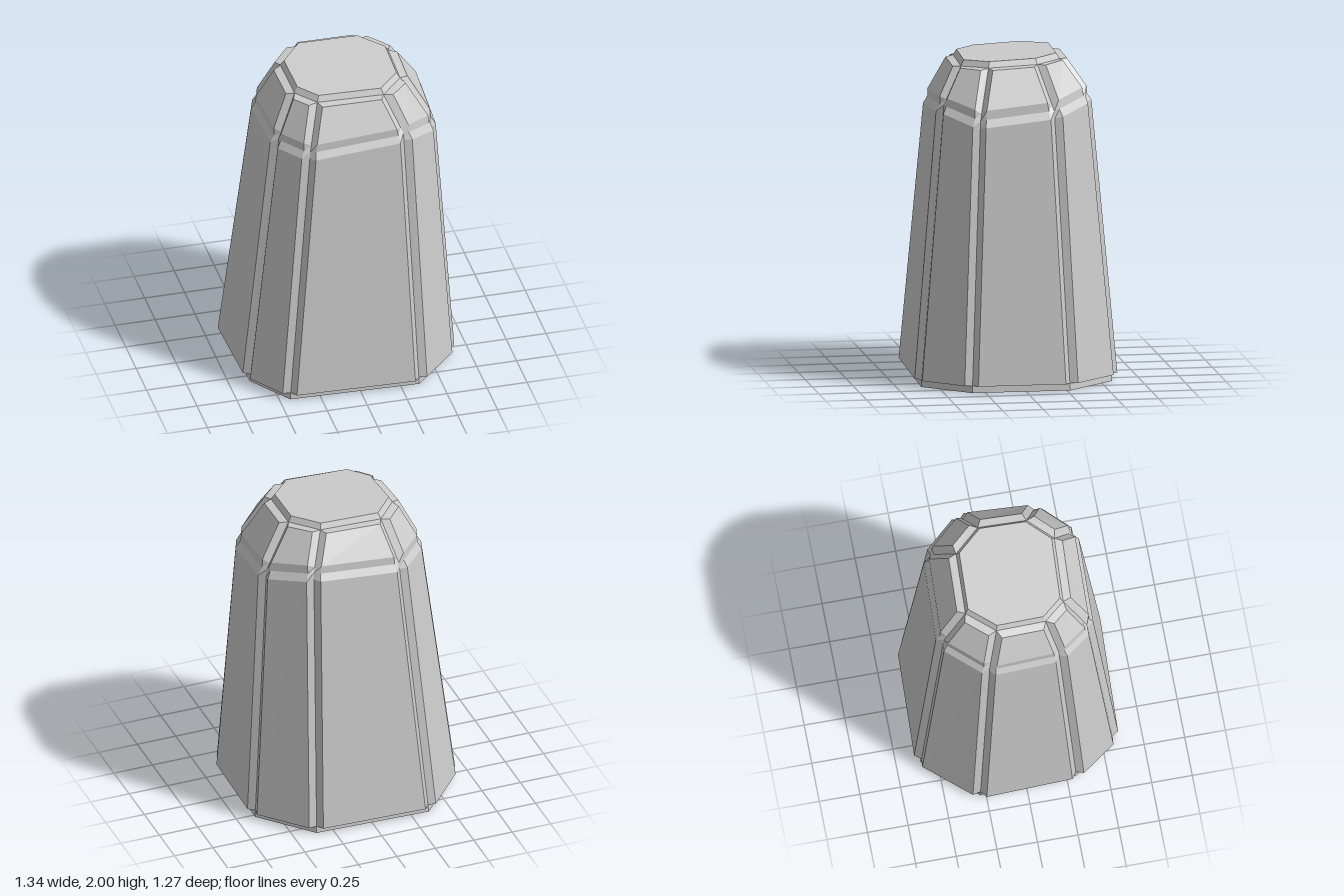
import * as THREE from 'three';

const V = (x, y, z) => new THREE.Vector3(x, y, z);
const mix = (a, b, t) => a.clone().lerp(b, t);
const N = 8;
const DEPTH = 0.04, INSET = 0.03; // how far panels stand out, and their margin at the corners

// Corner lines of the core, clockwise from back right-hand corner seen from above
const base = [[-0.365, -0.6], [0.355, -0.575], [0.635, -0.27], [0.625, 0.33],
  [0.365, 0.6], [-0.435, 0.57], [-0.62, 0.31], [-0.64, -0.285]].map(([x, z]) => V(x, 0, z));
const shoulder = [[-0.235, 1.72, -0.435], [0.31, 1.76, -0.415], [0.53, 1.7, -0.19], [0.52, 1.65, 0.262],
  [0.305, 1.72, 0.45], [-0.275, 1.67, 0.44], [-0.42, 1.67, 0.24], [-0.445, 1.69, -0.19]].map(p => V(...p));
const topHeight = (x, z) => 1.987 + 0.01 * x - 0.045 * z;
const rim = [[-0.175, -0.29], [0.213, -0.275], [0.357, -0.115], [0.353, 0.185],
  [0.212, 0.33], [-0.197, 0.308], [-0.305, 0.18], [-0.315, -0.125]].map(([x, z]) => V(x, topHeight(x, z) - 0.036, z));
const crown = rim.map(p => {
  const x = 0.02 + (p.x - 0.02) * 0.94, z = 0.02 + (p.z - 0.02) * 0.94;
  return V(x, topHeight(x, z), z);
});

function triangles(list) {
  const pos = [];
  const area = new THREE.Triangle();
  for (const [a, b, c] of list) {
    if (area.set(a, b, c).getArea() > 1e-7) for (const p of [a, b, c]) pos.push(p.x, p.y, p.z);
  }
  const g = new THREE.BufferGeometry();
  g.setAttribute('position', new THREE.Float32BufferAttribute(pos, 3));
  g.computeVertexNormals();
  return g;
}

// Skins rows of points, listed from bottom to top
function skin(rows, closed) {
  const out = [];
  for (let r = 0; r + 1 < rows.length; r++) {
    const lo = rows[r], hi = rows[r + 1], n = lo.length;
    for (let i = 0; i < (closed ? n : n - 1); i++) {
      const j = (i + 1) % n;
      out.push([lo[j], lo[i], hi[i]], [lo[j], hi[i], hi[j]]);
    }
  }
  return out;
}

function cap(ring, up) {
  const c = ring.reduce((s, p) => s.add(p), V(0, 0, 0)).divideScalar(ring.length);
  return ring.map((p, i) => {
    const q = ring[(i + 1) % ring.length];
    return up ? [c, q, p] : [c, p, q];
  });
}

// One raised side: long lower panel, shallow shoulder groove, sloping upper panel
function sidePanel(i) {
  const j = (i + 1) % N;
  const normal = (lo, hi) => lo[i].clone().sub(lo[j]).cross(hi[i].clone().sub(lo[j])).normalize();
  const nLow = normal(base, shoulder), nUp = normal(shoulder, rim);
  const row = (lo, hi, t, n, tOut = t) => {
    const a = mix(lo[i], hi[i], tOut), b = mix(lo[j], hi[j], tOut);
    const along = b.clone().sub(a).normalize().multiplyScalar(INSET);
    a.add(along).addScaledVector(n, DEPTH);
    b.sub(along).addScaledVector(n, DEPTH);
    return [mix(lo[i], hi[i], t), a, b, mix(lo[j], hi[j], t)];
  };
  const bottom = row(base, shoulder, 0.027, nLow);
  bottom.forEach(p => { p.y = 0.045; });
  const lowTop = row(base, shoulder, 0.975, nLow);
  const upBottom = row(shoulder, rim, 0.14, nUp);
  const upTop = row(shoulder, rim, 1, nUp, 0.9);
  const inward = nLow.clone().add(nUp).normalize().multiplyScalar(-0.012);
  const groove = [shoulder[i], mix(lowTop[1], upBottom[1], 0.5).add(inward),
    mix(lowTop[2], upBottom[2], 0.5).add(inward), shoulder[j]];
  const under = [bottom[0], bottom[0], bottom[3], bottom[3]];
  const end = [rim[i], rim[i], rim[j], rim[j]];
  return triangles(skin([under, bottom, lowTop, groove, upBottom, upTop, end], false));
}

export function createModel() {
  const stone = new THREE.MeshStandardMaterial({ color: 0xcccccc });
  stone.name = 'grey stone';
  stone.flatShading = true;
  const model = new THREE.Group();
  model.name = 'taperedStone';
  const add = (name, geometry) => {
    const mesh = new THREE.Mesh(geometry, stone);
    mesh.name = name;
    model.add(mesh);
  };

  // Plinth under the panels
  const plinthTop = base.map((p, i) => mix(p, shoulder[i], 0.027).setY(0.045));
  add('plinth', triangles([...skin([base, plinthTop], true), ...cap(base, false)]));

  // Eight raised sides with V grooves between them
  const names = ['back', 'backLeft', 'left', 'frontLeft', 'front', 'frontRight', 'right', 'backRight'];
  names.forEach((name, i) => add(name + 'Panel', sidePanel(i)));

  // Raised, slightly tilted top
  add('topPanel', triangles([...skin([rim, crown], true), ...cap(crown, true)]));
  return model;
}
